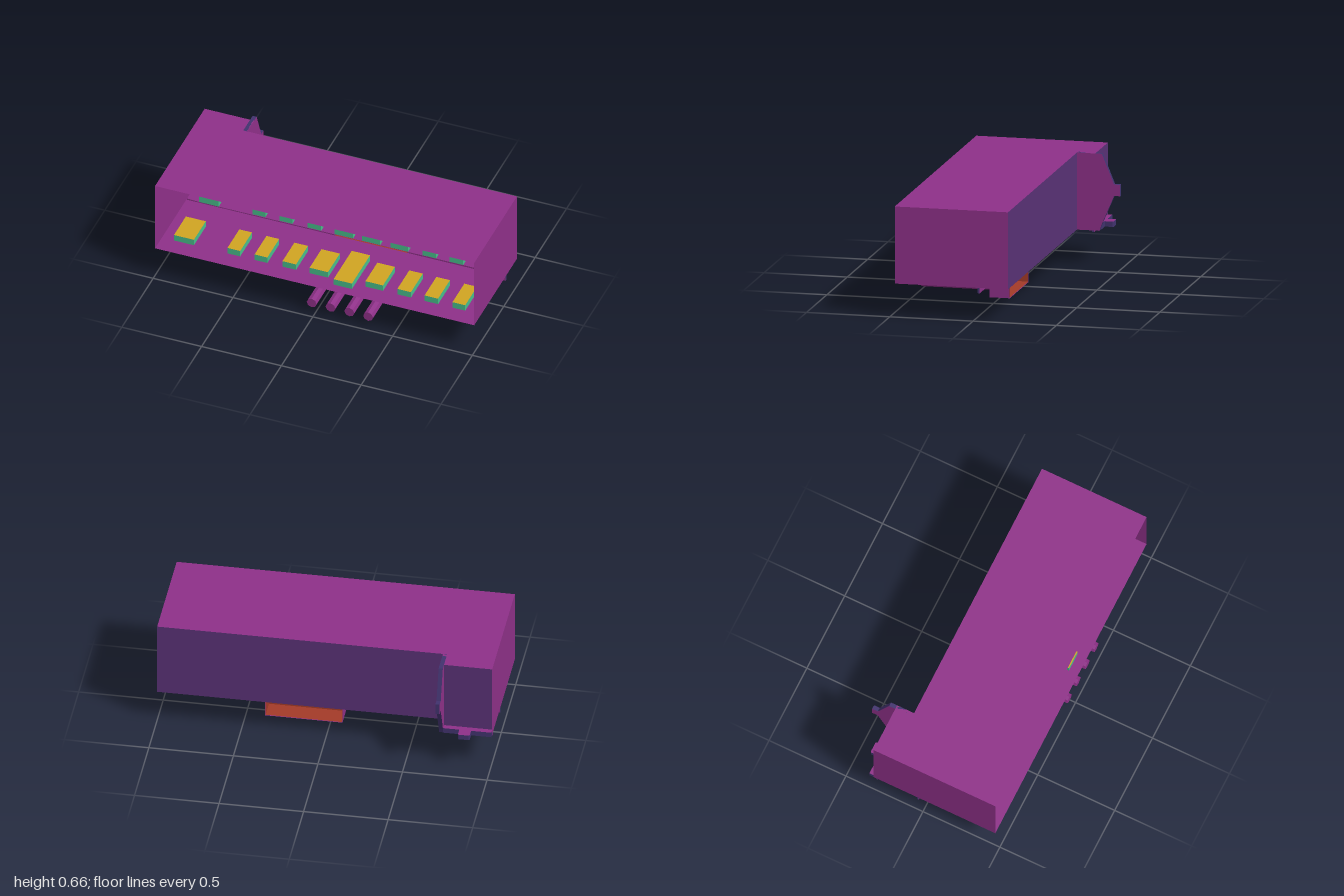
import * as THREE from 'three';

const mat = (name, color) => {
  const m = new THREE.MeshStandardMaterial({ color, side: THREE.DoubleSide, flatShading: true });
  m.name = name;
  return m;
};

export function createModel() {
  const purple = mat('purple', 0x8e3088);
  const violet = mat('violet', 0x593176);
  const navy = mat('navy', 0x41326e);
  const green = mat('green', 0x48bd8b);
  const gold = mat('gold', 0xd0a422);
  const rust = mat('rust', 0xa33a28);

  const model = new THREE.Group();
  model.name = 'foldedSheetShell';

  const add = (parent, name, geometry, material) => {
    const mesh = new THREE.Mesh(geometry, material);
    mesh.name = name;
    parent.add(mesh);
    return mesh;
  };
  const group = (name) => {
    const g = new THREE.Group();
    g.name = name;
    model.add(g);
    return g;
  };
  const rect = (u0, v0, u1, v1) => [[u0, v0], [u1, v0], [u1, v1], [u0, v1]];

  // Placing rules: flat outline (u, v) onto a plane at distance w
  const onX = (u, v, w) => [w, v, u];
  const onY = (u, v, w) => [u, w, v];
  const onZ = (u, v, w) => [u, v, w];

  // Flat sheet with optional holes
  const sheet = (parent, name, material, outline, place, w, holes = []) => {
    const vec = (pts) => pts.map((p) => new THREE.Vector2(...p));
    const shape = new THREE.Shape(vec(outline));
    shape.holes = holes.map((h) => new THREE.Path(vec(h)));
    const g = new THREE.ShapeGeometry(shape);
    const p = g.attributes.position;
    for (let i = 0; i < p.count; i++) p.setXYZ(i, ...place(p.getX(i), p.getY(i), w));
    g.computeVertexNormals();
    return add(parent, name, g, material);
  };

  // Strip following an open or closed path between two planes
  const strip = (parent, name, material, path, place, w0, w1) => {
    const pos = [];
    for (let i = 0; i + 1 < path.length; i++) {
      const a = place(...path[i], w0), b = place(...path[i + 1], w0);
      const c = place(...path[i + 1], w1), d = place(...path[i], w1);
      pos.push(...a, ...b, ...c, ...a, ...c, ...d);
    }
    const g = new THREE.BufferGeometry();
    g.setAttribute('position', new THREE.Float32BufferAttribute(pos, 3));
    g.computeVertexNormals();
    return add(parent, name, g, material);
  };

  // Hollow pocket: two side sheets and a rim, open between path end and start
  const pocket = (name, path, place, w0, w1) => {
    const g = group(name);
    sheet(g, name + 'SideA', purple, path, place, w0);
    sheet(g, name + 'SideB', purple, path, place, w1);
    strip(g, name + 'Rim', navy, path, place, w0, w1);
  };

  const F = 0.2, T = 0.66, front = 0.47, back = -0.21, bayBack = -0.32;
  const bayX = -0.69, finX = -0.715;

  // Raised hatches: x centre and width of each column
  const columns = [
    [-0.8625, 0.125], [-0.55, 0.08], [-0.38, 0.08], [-0.2025, 0.085], [-0.0175, 0.115],
    [0.1525, 0.115], [0.33, 0.11], [0.5175, 0.085], [0.6875, 0.085], [0.86, 0.08],
  ];
  const hatchOutlines = [];
  columns.forEach(([x, w], i) => {
    const rows = [
      [i === 0 ? -0.11 : -0.09, i === 0 ? 0.15 : 0.1],
      [0.265, i === 5 ? 0.29 : 0.19],
    ];
    rows.forEach(([z, d]) => hatchOutlines.push(rect(x - w / 2, z - d / 2, x + w / 2, z + d / 2)));
  });
  const hatches = group('hatches');
  hatchOutlines.forEach((o) => {
    strip(hatches, 'hatchSides', green, [...o, o[0]], onY, F, 0.24);
    sheet(hatches, 'hatchTop', gold, o, onY, 0.24);
  });

  // Shell: floor, roof and walls, open at the front
  const shell = group('shell');
  const plan = (z) => [[-1, front], [1, front], [1, back], [bayX, back], [bayX, z], [-1, z]];
  const grooveHoles = [rect(-0.999, -0.04, 0.999, -0.028), rect(-0.995, -0.306, -0.72, -0.295)];
  sheet(shell, 'floor', purple, plan(bayBack), onY, F, [...hatchOutlines, ...grooveHoles]);
  sheet(shell, 'roof', purple, plan(bayBack), onY, T);
  sheet(shell, 'leftWall', purple, rect(back, F, front, T), onX, 1);
  sheet(shell, 'rightWall', purple, rect(bayBack, F, front, T), onX, -1);
  sheet(shell, 'backWall', violet, rect(bayX, F, 1, T), onZ, back);
  sheet(shell, 'bayBackWall', violet, rect(-1, 0.235, finX, T), onZ, bayBack);

  // Hollow fin beside the rear bay
  pocket('fin', [[back, T], [-0.36, T], [-0.433, 0.48], [-0.47, 0.48], [-0.47, 0.412],
    [-0.433, 0.412], [-0.355, 0.23], [-0.345, F], [back, F]], onX, finX, bayX);

  // Hollow lip with a tab behind the rear bay
  pocket('lip', [[-1, bayBack], [-1, -0.348], [-0.88, -0.348], [-0.88, -0.395], [-0.875, -0.4],
    [-0.815, -0.4], [-0.81, -0.395], [-0.81, -0.348], [finX, -0.348], [finX, bayBack]], onY, F, 0.232);

  // Grooves folded down from the floor
  pocket('floorGroove', [[-1, F], [-1, 0.168], [1, 0.168], [1, F]], onZ, -0.04, -0.028);
  pocket('bayGroove', [[-1, F], [-1, 0.185], [finX, 0.185], [finX, F]], onZ, -0.306, -0.295);

  // Tray under the floor, open at the back, with a differently coloured lining
  const tray = group('tray');
  const liner = (name, m, e) => {
    const x0 = -0.072 + e, x1 = 0.386 - e, y0 = 0.01 + e, z1 = 0.05 - e;
    strip(tray, name + 'Sides', m, [[x0, F], [x0, y0], [x1, y0], [x1, F]], onZ, -0.07, z1);
    sheet(tray, name + 'Front', m, rect(x0, y0, x1, F), onZ, z1);
  };
  liner('trayOuter', purple, 0);
  liner('trayLining', rust, 0.004);
  sheet(tray, 'trayCeiling', rust, rect(-0.068, -0.07, 0.382, 0.046), onY, F - 0.003);

  // Rods reaching forward and small pads below the tray
  const rods = group('rods');
  for (let i = 0; i < 4; i++) {
    const rod = new THREE.CylinderGeometry(0.031, 0.031, 0.42, 8).rotateX(Math.PI / 2);
    add(rods, 'rod', rod, purple).position.set(0.158 + (i - 1.5) * 0.118, 0.075, 0.26);
  }
  const pads = group('footPads');
  for (let i = 0; i < 9; i++) {
    add(pads, 'footPad', new THREE.BoxGeometry(0.026, 0.0095, 0.05), navy)
      .position.set(-0.032 + i * 0.045, 0.0048, -0.005);
  }
  return model;
}
